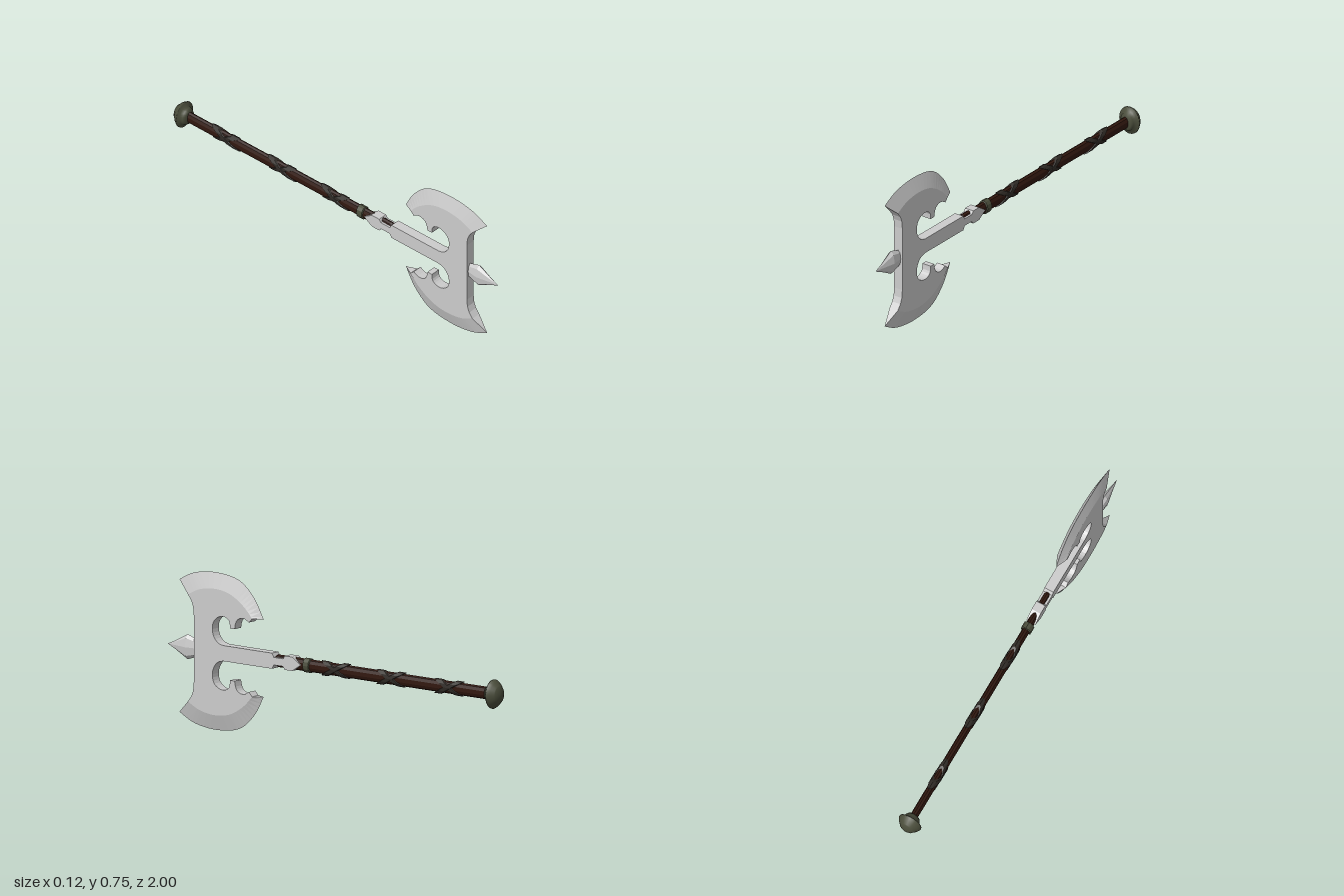
import * as THREE from 'three';

const AXIS = 0.376, T = 0.024; // height of the haft axis, half thickness of the blade

const mat = (color, flatShading = true) =>
  new THREE.MeshStandardMaterial({ color, flatShading, side: THREE.DoubleSide });
const v2 = (pts) => pts.map(([a, b]) => new THREE.Vector2(a, b));
const curve = (pts, n) => new THREE.SplineCurve(v2(pts)).getPoints(n);

// Solid turned around the z axis; points are [radius, z], squashed to an ellipse
function turned(pts, sides, sx, sy) {
  const g = new THREE.LatheGeometry(v2(pts), sides);
  g.rotateX(Math.PI / 2);
  g.scale(sx, sy, 1);
  return g;
}

// Strap around the haft, leaning along z by `lean` from bottom to top
function strapGeometry(lean, width, thick) {
  const w = width / 2;
  const g = turned([[0.9, -w], [1 + thick, -w * 0.8], [1 + thick, w * 0.8], [0.9, w]], 12, 0.019, 0.031);
  const p = g.attributes.position;
  for (let i = 0; i < p.count; i++) p.setZ(i, p.getZ(i) + lean * p.getY(i) / 0.031);
  return g;
}

export function createModel() {
  const model = new THREE.Group();
  const steel = mat(0xcccccc), wood = mat(0x32180f), leather = mat(0x2f2a25);
  const bronze = mat(0x4a4d3b, false);
  const add = (name, geo, material, z = 0, parent = model) => {
    const m = new THREE.Mesh(geo, material);
    m.name = name;
    m.position.z = z;
    parent.add(m);
    return m;
  };

  // Blade plate: upper half outline as [z, height above axis], mirrored below
  const N = 24;
  const inner = curve([[0.86, 0.254], [0.79, 0.287], [0.7, 0.3], [0.61, 0.286], [0.53, 0.24], [0.475, 0.185]], N);
  const outer = curve([[0.93, 0.315], [0.838, 0.358], [0.705, 0.374], [0.57, 0.352], [0.48, 0.277], [0.425, 0.183]], N);
  const upper = [
    ...v2([[0.825, 0.16], [0.829, 0.2], [0.84, 0.228]]),
    ...inner,
    ...v2([[0.495, 0.165]]),
    ...curve([[0.5, 0.168], [0.525, 0.18], [0.555, 0.175], [0.573, 0.155], [0.58, 0.123]], 10),
    ...curve([[0.608, 0.123], [0.612, 0.155], [0.635, 0.172], [0.67, 0.172], [0.702, 0.15],
      [0.714, 0.115], [0.706, 0.075], [0.682, 0.047], [0.65, 0.037]], 20),
    // neck, side strips, band and pointed end over the haft
    ...v2([[0.356, 0.037], [0.345, 0.018], [0.29, 0.018], [0.28, 0.033], [0.235, 0.033]]),
  ];
  const lower = upper.map((p) => new THREE.Vector2(p.x, -p.y)).reverse();
  const shape = new THREE.Shape([...upper, new THREE.Vector2(0.185, 0), ...lower]);
  const plate = new THREE.ExtrudeGeometry(shape, { depth: 2 * T, bevelEnabled: false });
  plate.translate(0, 0, -T);
  plate.rotateY(-Math.PI / 2);
  add('bladePlate', plate, steel);

  // Ground cutting edges: from both plate faces to a sharp line at x = 0
  for (const s of [1, -1]) {
    const pos = [];
    const I = (i, x) => [x, s * inner[i].y, inner[i].x];
    const O = (i) => [0, s * outer[i].y, outer[i].x];
    const tri = (a, b, c, flip) => pos.push(...a, ...(flip ? c : b), ...(flip ? b : c));
    for (let i = 0; i < N; i++) {
      for (const side of [1, -1]) {
        const flip = side * s < 0, x = side * T;
        tri(I(i, x), I(i + 1, x), O(i), !flip);
        tri(I(i + 1, x), O(i + 1), O(i), !flip);
      }
    }
    tri(I(0, T), O(0), I(0, -T), s < 0);
    tri(I(N, T), I(N, -T), O(N), s < 0);
    const g = new THREE.BufferGeometry();
    g.setAttribute('position', new THREE.Float32BufferAttribute(pos, 3));
    g.computeVertexNormals();
    add(s > 0 ? 'upperCuttingEdge' : 'lowerCuttingEdge', g, steel);
  }

  // Front spike
  add('spike', turned([[0, 1], [0.02, 0.955], [0.06, 0.88], [0.038, 0.815], [0, 0.815]], 8, 0.36, 1), steel);

  // Oval haft
  add('haft', turned([[0, 0.352], [0.7, 0.352], [1, 0.335], [1, -0.94], [0, -0.94]], 10, 0.018, 0.03), wood);

  // Collar below the blade
  add('collar', turned([[0.8, -0.019], [1, -0.016], [1, 0.016], [0.8, 0.019]], 12, 0.027, 0.035), mat(0x4a4d3b), 0.155);

  // Three crossed leather wraps
  for (const z of [-0.01, -0.342, -0.69]) {
    const wrap = new THREE.Group();
    wrap.name = 'leatherWrap';
    wrap.position.z = z;
    model.add(wrap);
    add('strap', strapGeometry(0.058, 0.05, 0.12), leather, 0, wrap);
    add('crossStrap', strapGeometry(-0.058, 0.05, 0.2), leather, 0, wrap);
  }

  // Oval mushroom pommel
  add('pommel', turned([[0, -1], [0.018, -0.998], [0.034, -0.99], [0.036, -0.986], [0.05, -0.972], [0.059, -0.956],
    [0.058, -0.95], [0.042, -0.947], [0.038, -0.932], [0.03, -0.92], [0, -0.92]], 24, 1, 1.18), bronze);

  model.position.y = AXIS;
  const root = new THREE.Group();
  root.name = 'battleAxe';
  root.add(model);
  return root;
}
